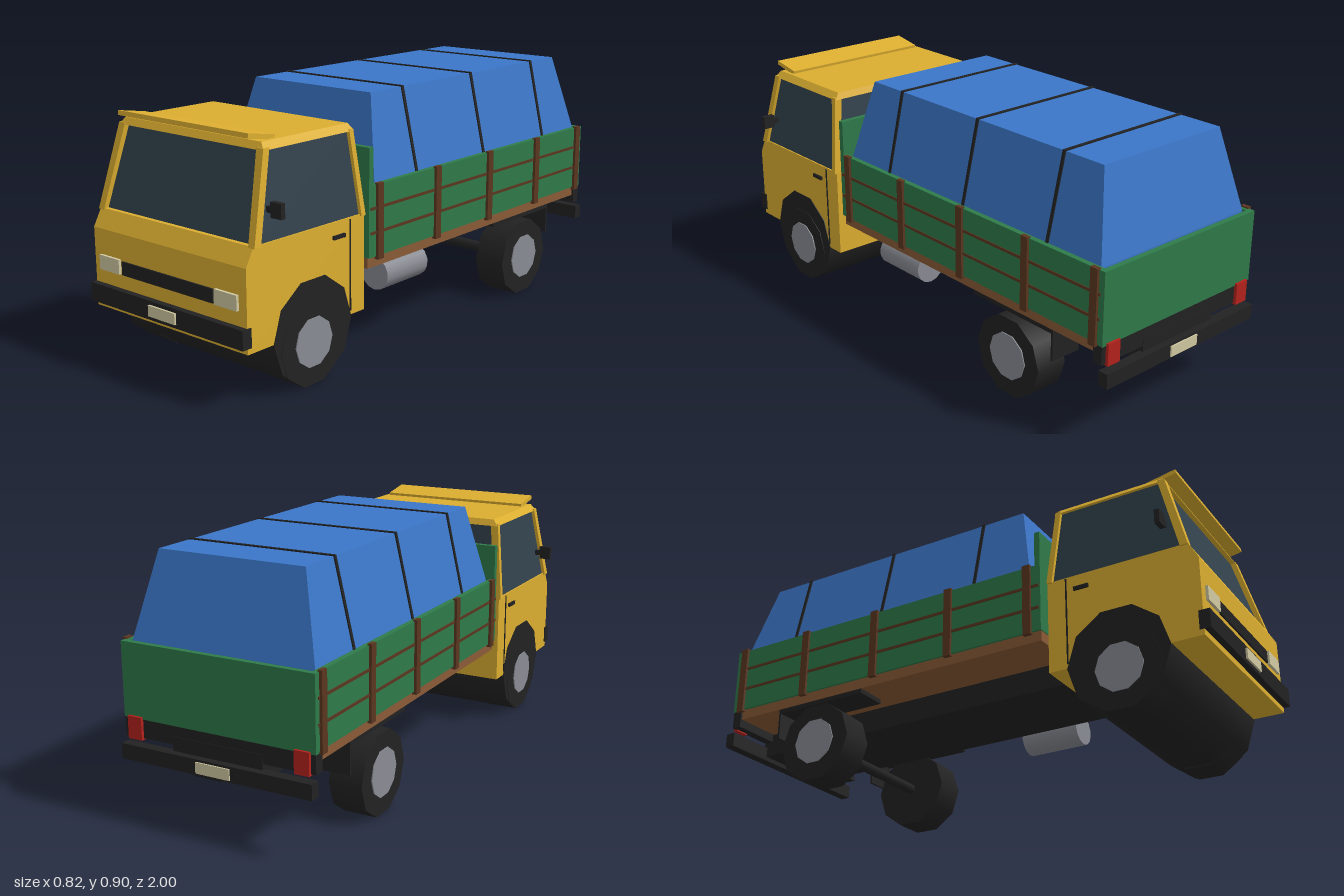
import * as THREE from 'three';

const material = (name, color) => {
  const m = new THREE.MeshStandardMaterial({ color });
  m.name = name;
  return m;
};

export function createModel() {
  const truck = new THREE.Group();
  truck.name = 'flatbedTruck';

  const yellow = material('cabYellow', 0xdcae30);
  const blue = material('tarpBlue', 0x3b76c8);
  const green = material('boardGreen', 0x2f7a4a);
  const wood = material('floorWood', 0x8a5a36);
  const darkWood = material('postWood', 0x5a3620);
  const black = material('black', 0x222222);
  const glass = material('windowGlass', 0x33424d);
  const metal = material('metalGrey', 0x8a8c94);
  const cream = material('lampCream', 0xd2caa2);
  const red = material('lampRed', 0xb4221c);

  const add = (name, geometry, mat, parent = truck) => {
    const mesh = new THREE.Mesh(geometry, mat);
    mesh.name = name;
    parent.add(mesh);
    return mesh;
  };

  // Box given by its ranges along each axis
  const box = (name, mat, [x0, x1], [y0, y1], [z0, z1]) => {
    const g = new THREE.BoxGeometry(x1 - x0, y1 - y0, z1 - z0);
    g.translate((x0 + x1) / 2, (y0 + y1) / 2, (z0 + z1) / 2);
    return add(name, g, mat);
  };

  // Box whose bottom and top rectangles [x0, x1, z0, z1] differ
  const taper = (name, mat, y0, bottom, y1, top) => {
    const g = new THREE.BoxGeometry(1, 1, 1);
    const p = g.attributes.position;
    for (let i = 0; i < p.count; i++) {
      const r = p.getY(i) > 0 ? top : bottom;
      p.setXYZ(i, p.getX(i) < 0 ? r[0] : r[1], p.getY(i) > 0 ? y1 : y0, p.getZ(i) < 0 ? r[2] : r[3]);
    }
    g.computeVertexNormals();
    return add(name, g, mat);
  };

  // Cylinder lying along x, with a corner pointing forward
  const axleCylinder = (name, mat, radius, length, sides, x, y, z) => {
    const g = new THREE.CylinderGeometry(radius, radius, length, sides);
    g.rotateZ(Math.PI / 2);
    const m = add(name, g, mat);
    m.position.set(x, y, z);
    // bring a corner round to +z
    const v = new THREE.Vector3().fromBufferAttribute(g.attributes.position, 0);
    m.rotation.x = Math.atan2(v.y, v.z);
    return m;
  };

  // Cab body: side profile extruded across the width
  const profile = new THREE.Shape([
    [-0.97, 0.185], [-0.425, 0.185], [-0.425, 0.52], [-0.937, 0.52], [-0.97, 0.46],
  ].map(([z, y]) => new THREE.Vector2(z, y)));
  const cab = new THREE.ExtrudeGeometry(profile, { depth: 0.724, bevelEnabled: false });
  cab.translate(0, 0, -0.362);
  cab.rotateY(Math.PI / 2);
  add('cabBody', cab, yellow);

  // Greenhouse, corner pillars, roof and sun visor
  taper('cabWindows', glass, 0.515, [-0.357, 0.357, 0.436, 0.922], 0.805, [-0.325, 0.325, 0.462, 0.842]);
  for (const s of [-1, 1]) {
    const rect = (a, b, z0, z1) => (s > 0 ? [a, b, z0, z1] : [-b, -a, z0, z1]);
    taper('frontPillar', yellow, 0.515, rect(0.343, 0.37, 0.912, 0.94), 0.805, rect(0.308, 0.338, 0.836, 0.862));
    taper('rearPillar', yellow, 0.515, rect(0.343, 0.37, 0.425, 0.445), 0.805, rect(0.308, 0.338, 0.45, 0.47));
  }
  taper('cabRoof', yellow, 0.798, [-0.338, 0.338, 0.445, 0.862], 0.822, [-0.318, 0.318, 0.455, 0.85]);
  const visor = add('sunVisor', new THREE.BoxGeometry(0.608, 0.016, 0.115), yellow);
  visor.position.set(0, 0.834, 0.835);
  visor.rotation.x = -0.17;

  // Cab front
  box('grille', black, [-0.218, 0.218], [0.32, 0.367], [0.96, 0.976]);
  box('frontBumper', black, [-0.365, 0.365], [0.205, 0.27], [0.955, 0.993]);
  box('frontPlate', cream, [-0.064, 0.064], [0.219, 0.257], [0.99, 1.0]);

  // Cab details on each side
  for (const s of [-1, 1]) {
    const side = (a, b) => (s > 0 ? [a, b] : [-b, -a]);
    box('headlight', cream, side(0.228, 0.328), [0.32, 0.371], [0.96, 0.98]);
    box('mirror', black, side(0.366, 0.411), [0.597, 0.647], [0.848, 0.866]);
    box('mirrorArm', black, side(0.34, 0.37), [0.61, 0.63], [0.851, 0.863]);
    box('doorHandle', black, side(0.36, 0.37), [0.462, 0.475], [0.525, 0.58]);
    box('doorSeam', black, side(0.36, 0.365), [0.2, 0.515], [0.493, 0.498]);
  }

  // Wheels, with a full-width housing between the front pair
  axleCylinder('frontWheelHousing', black, 0.183, 0.73, 10, 0, 0.181, 0.676);
  axleCylinder('rearAxle', black, 0.02, 0.6, 10, 0, 0.143, -0.55);
  for (const z of [0.68, -0.55]) {
    for (const s of [-1, 1]) {
      axleCylinder('tyre', black, 0.15, 0.122, 10, s * 0.306, 0.143, z);
      axleCylinder('wheelHub', metal, 0.086, 0.03, 10, s * 0.356, 0.145, z);
    }
  }

  // Chassis, fuel tank and rear bumper
  box('chassis', black, [-0.17, 0.17], [0.228, 0.315], [-0.97, 0.42]);
  const tank = add('fuelTank', new THREE.CylinderGeometry(0.06, 0.06, 0.23, 14), metal);
  tank.rotation.x = Math.PI / 2;
  tank.position.set(0.25, 0.24, 0.118);
  box('rearBumper', black, [-0.36, 0.36], [0.212, 0.265], [-0.995, -0.957]);
  box('rearPlate', cream, [-0.064, 0.064], [0.219, 0.257], [-1.0, -0.99]);
  box('rearSill', black, [-0.36, 0.36], [0.285, 0.35], [-0.968, -0.932]);
  for (const s of [-1, 1]) {
    const side = (a, b) => (s > 0 ? [a, b] : [-b, -a]);
    box('rearFender', black, side(0.23, 0.35), [0.3, 0.318], [-0.745, -0.36]);
    box('mudFlap', black, side(0.23, 0.35), [0.2, 0.315], [-0.745, -0.737]);
    box('tailLight', red, side(0.288, 0.342), [0.28, 0.358], [-0.979, -0.96]);
  }

  // Load bed
  box('bedFloor', wood, [-0.352, 0.352], [0.317, 0.358], [-0.933, 0.393]);
  box('bedHeadboard', green, [-0.361, 0.361], [0.355, 0.735], [0.375, 0.396]);
  box('tailgate', green, [-0.361, 0.361], [0.35, 0.605], [-0.97, -0.95]);
  for (const s of [-1, 1]) {
    const side = (a, b) => (s > 0 ? [a, b] : [-b, -a]);
    box('sideBoard', green, side(0.341, 0.361), [0.355, 0.605], [-0.96, 0.385]);
    for (const y of [0.44, 0.525]) {
      box('boardStrip', darkWood, side(0.358, 0.364), [y - 0.005, y + 0.005], [-0.955, 0.39]);
    }
    for (const z of [0.345, 0.022, -0.302, -0.625, -0.932]) {
      box('sidePost', darkWood, side(0.355, 0.371), [0.345, 0.61], [z - 0.015, z + 0.015]);
    }
  }

  // Covered load and its straps
  taper('tarp', blue, 0.36, [-0.341, 0.341, -0.935, 0.345], 0.6, [-0.341, 0.341, -0.935, 0.345]);
  taper('tarpTop', blue, 0.6, [-0.341, 0.341, -0.935, 0.345], 0.895, [-0.272, 0.272, -0.867, 0.283]);
  for (const z of [0.115, -0.292, -0.7]) {
    taper('strap', black, 0.6, [-0.345, 0.345, z - 0.006, z + 0.006], 0.899, [-0.276, 0.276, z - 0.006, z + 0.006]);
  }

  return truck;
}
